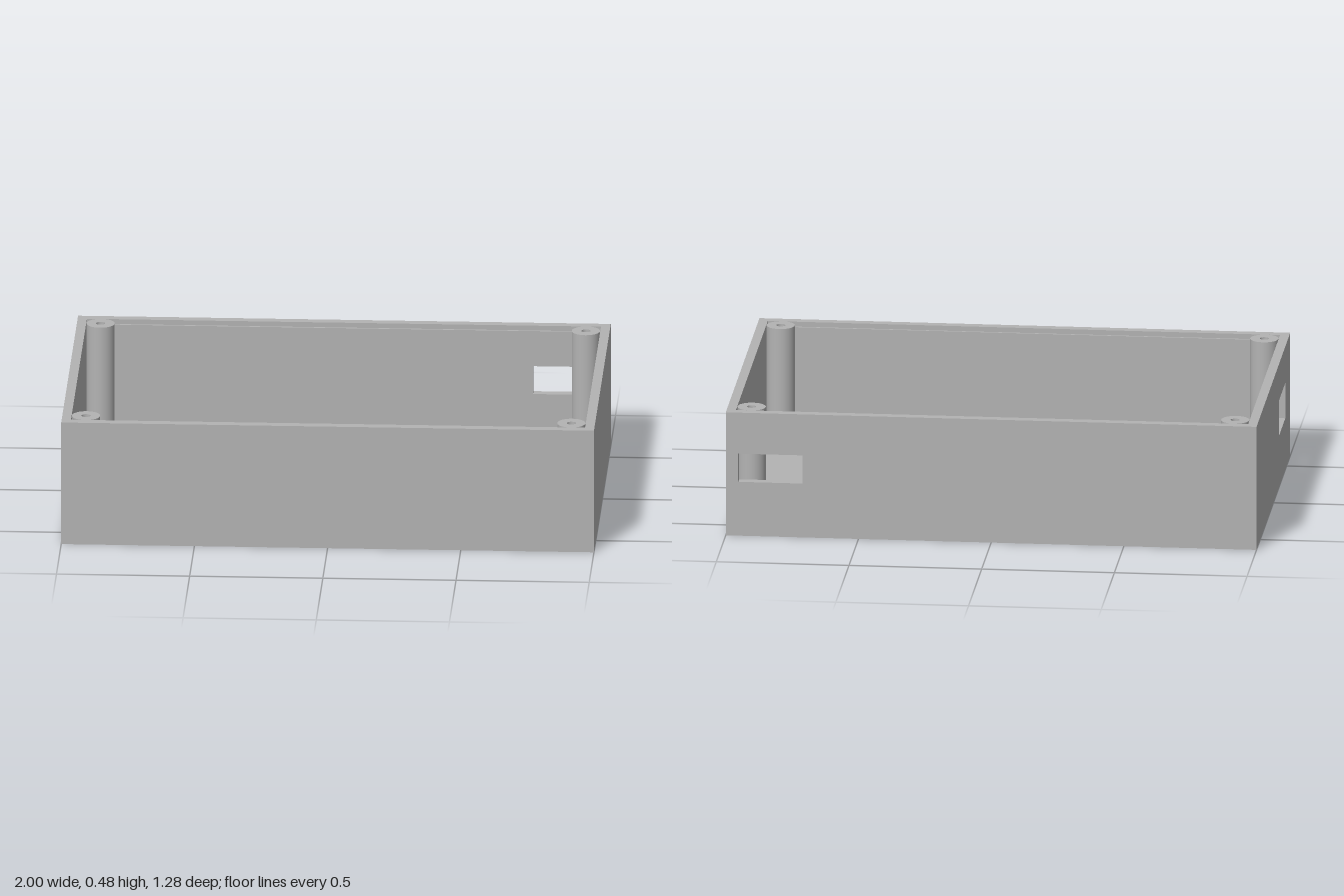
import * as THREE from 'three';

const W = 2, H = 0.48, D = 1.28, T = 0.035; // outer size and wall thickness

export function createModel() {
  const model = new THREE.Group();
  model.name = 'enclosure';
  const grey = new THREE.MeshStandardMaterial({ color: 0xb3b3b3 });
  grey.name = 'grey plastic';

  const add = (name, geometry, x = 0, y = 0, z = 0) => {
    const mesh = new THREE.Mesh(geometry, grey);
    mesh.name = name;
    mesh.position.set(x, y, z);
    model.add(mesh);
    return mesh;
  };

  const rect = (path, x0, y0, x1, y1) => {
    path.moveTo(x0, y0);
    path.lineTo(x1, y0);
    path.lineTo(x1, y1);
    path.lineTo(x0, y1);
    path.closePath();
    return path;
  };

  // Upright wall slab with an optional rectangular port [x0, y0, x1, y1]
  const wall = (length, port) => {
    const shape = rect(new THREE.Shape(), -length / 2, 0, length / 2, H);
    if (port) shape.holes.push(rect(new THREE.Path(), ...port));
    return new THREE.ExtrudeGeometry(shape, { depth: T, bevelEnabled: false });
  };

  // Long walls; the back one has a port near its +x end
  add('frontWall', wall(W), 0, 0, D / 2 - T);
  add('backWall', wall(W, [0.71, 0.21, 0.953, 0.32]), 0, 0, -D / 2);

  // Short walls between them; local x becomes -z after the turn
  const inner = D - 2 * T;
  add('leftWall', wall(inner), W / 2 - T, 0, 0).rotation.y = Math.PI / 2;
  add('rightWall', wall(inner, [-0.452, 0.2, -0.215, 0.338]), -W / 2, 0, 0).rotation.y = Math.PI / 2;

  // Floor plate
  add('floor', new THREE.BoxGeometry(W - 2 * T, T, inner), 0, T / 2, 0);

  // Thin ledges for the lid along the long walls
  for (const s of [1, -1]) {
    add('lidLedge', new THREE.BoxGeometry(1.72, 0.012, 0.008), 0, 0.455, s * (inner / 2 - 0.004));
  }

  // Hollow screw posts in the corners
  const R = 0.053, r = 0.017, postHeight = H - T;
  const ring = new THREE.Shape().absarc(0, 0, R, 0, Math.PI * 2, false);
  ring.holes.push(new THREE.Path().absarc(0, 0, r, 0, Math.PI * 2, true));
  const post = new THREE.ExtrudeGeometry(ring, { depth: postHeight, bevelEnabled: false, curveSegments: 32 });
  post.rotateX(-Math.PI / 2);
  // Radial normals round the sides, keeping the flat ends
  const p = post.attributes.position, n = post.attributes.normal;
  for (let i = 0; i < p.count; i++) {
    if (Math.abs(n.getY(i)) > 0.5) continue;
    const d = Math.hypot(p.getX(i), p.getZ(i));
    const k = (d > (R + r) / 2 ? 1 : -1) / d;
    n.setXYZ(i, p.getX(i) * k, 0, p.getZ(i) * k);
  }
  for (const x of [-0.911, 0.911]) {
    for (const z of [-0.553, 0.553]) add('screwPost', post, x, T, z);
  }

  return model;
}
